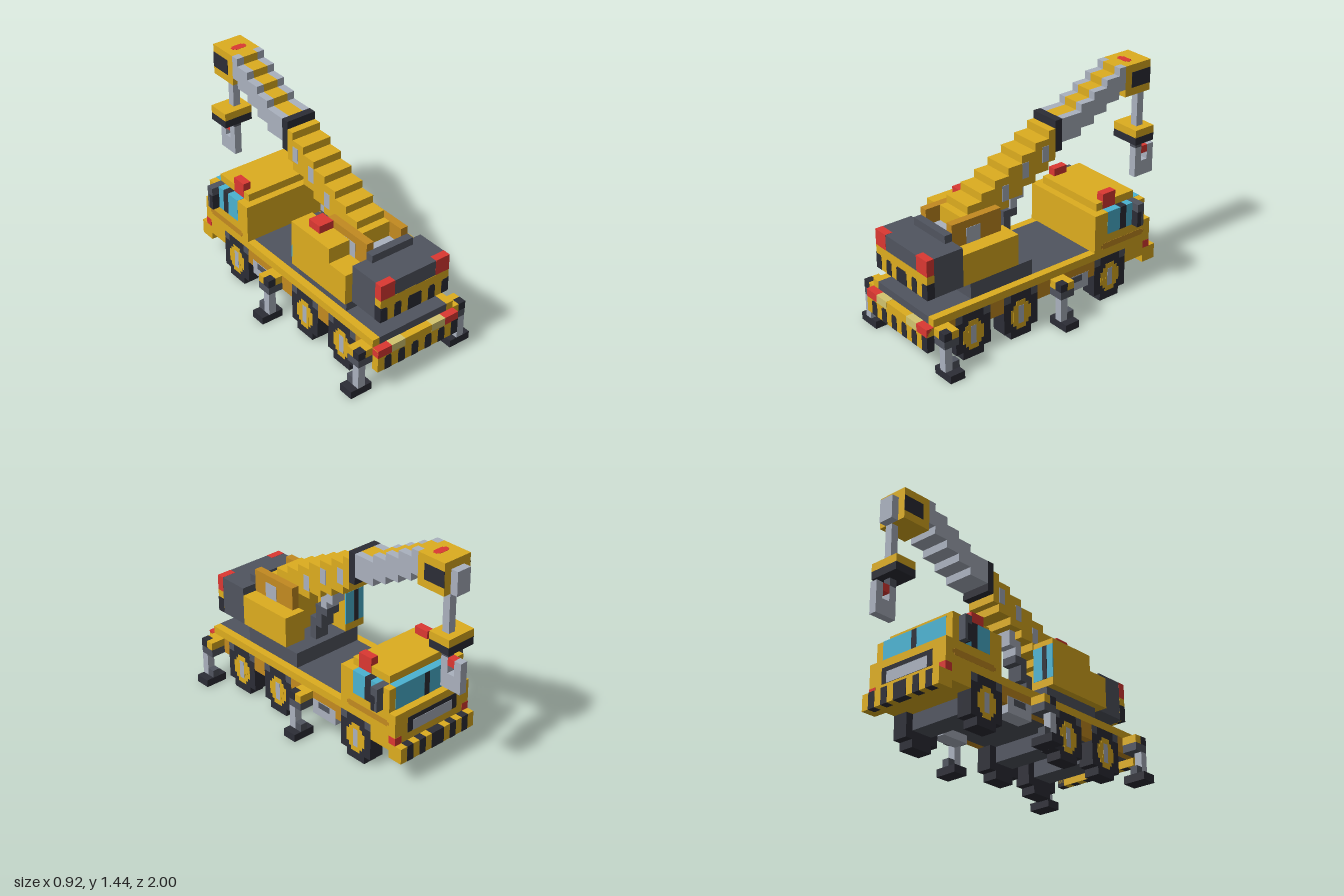
import * as THREE from 'three';

const V = 2 / 39; // one block
const mat = (name, color) => { const m = new THREE.MeshStandardMaterial({ color }); m.name = name; return m; };

export function createModel() {
  const model = new THREE.Group();
  model.name = 'craneTruck';
  const yellow = mat('yellow', 0xddad1f), orange = mat('orange', 0xc38a20), dark = mat('darkGrey', 0x50545f),
    light = mat('lightGrey', 0xaab1be), black = mat('black', 0x2c2d36), red = mat('red', 0xdc3832),
    blue = mat('glassBlue', 0x4bb3d2), cream = mat('cream', 0xd3c46e);

  // Box in block units; k counts from the +z end (0) to the -z end (39)
  const box = (name, m, x0, x1, y0, y1, k0, k1) => {
    const mesh = new THREE.Mesh(new THREE.BoxGeometry((x1 - x0) * V, (y1 - y0) * V, (k1 - k0) * V), m);
    mesh.position.set((x0 + x1) / 2 * V, (y0 + y1) / 2 * V, 1 - (k0 + k1) / 2 * V);
    mesh.name = name;
    model.add(mesh);
  };
  const pair = (name, m, x0, x1, ...r) => { box(name, m, x0, x1, ...r); box(name, m, -x1, -x0, ...r); };
  // Upright warning stripe with a narrowed top
  const stripe = (name, x0, x1, y0, y1, k0, k1) => {
    box(name, black, x0, x1, y0, y1 - 0.3, k0, k1);
    box(name, black, x0 + 0.15, x1 - 0.15, y1 - 0.3, y1 - 0.1, k0, k1);
  };

  // Chassis and deck
  box('chassisCore', dark, -5, 5, 4, 7, 1, 25);
  pair('deckRim', yellow, 5, 6, 6, 7, 1, 25);
  pair('sideSkirt', orange, 5, 6, 4, 6, 1, 25);
  pair('fuelTank', light, 4, 6.02, 3, 5, 20, 24);
  pair('tankBand', dark, 6.02, 6.05, 4.1, 4.9, 21, 23);

  // Rear bumper with lamps and stripes
  box('rearBumper', yellow, -6, 6, 3, 6, 0.03, 1);
  pair('rearLamp', red, 4, 6, 5, 6.02, 0, 1);
  pair('rearReflector', cream, 2, 4, 5, 6.02, 0, 1);
  for (let x = -5; x < 5; x += 2) stripe('rearStripe', x, x + 1, 2.99, 5, 0, 0.95);
  box('rearStripeEnd', black, 5, 6.02, 3, 5, 0, 1);

  // Wheels, arches and axles
  for (const k of [4, 11, 25]) {
    box('axle', dark, -4, 4, 2, 4, k + 1, k + 4);
    pair('wheelArch', dark, 4, 6.01, 5, 6, k, k + 5);
    pair('tyre', black, 4, 6.02, 1, 5, k, k + 5);
    pair('tyreTread', black, 4, 6.02, 0, 6, k + 1, k + 4);
    pair('hubWide', yellow, 6, 6.04, 2.1, 3.9, k + 1, k + 4);
    pair('hubTall', yellow, 6, 6.06, 1.1, 4.9, k + 1.8, k + 3.2);
    pair('hubMiddle', yellow, 6, 6.05, 1.6, 4.4, k + 1.4, k + 3.6);
    pair('hubCap', light, 6, 6.08, 1.8, 4.2, k + 2.1, k + 2.9);
  }

  // Outriggers
  for (const k of [1, 18]) {
    pair('outriggerArm', yellow, 6, 8, 5, 6, k, k + 2);
    pair('outriggerCap', black, 7, 8.02, 5, 6.02, k - 0.02, k + 1);
    pair('outriggerSleeve', dark, 6, 8, 4, 5, k, k + 2);
    pair('outriggerLeg', light, 7, 8, 1, 4, k, k + 1);
    pair('outriggerCollar', dark, 7, 8, 1, 2, k + 1, k + 2);
    pair('outriggerFoot', black, 6, 9, 0, 1, k, k + 2);
  }

  // Driving cab
  box('cabLower', yellow, -6, 6, 4, 9, 25, 34);
  box('cabUpper', yellow, -6, 6, 9, 12, 25, 33);
  box('cabRoof', yellow, -5, 5, 12, 13, 26, 32);
  box('windscreen', blue, -5, 5, 9, 12.02, 32, 33.03);
  box('windscreenPost', black, -0.4, 0.4, 9, 12, 32.5, 33.06);
  pair('rearSideWindow', blue, 5, 6.02, 9, 12.02, 27, 29);
  pair('windowPost', black, 5, 6.02, 9, 12.02, 29, 30);
  pair('frontSideWindow', blue, 5, 6.02, 9, 12.02, 30, 31);
  pair('mirror', dark, 5, 7, 9, 12.03, 31, 32);
  pair('mirrorFace', black, 6, 7.01, 9, 11, 30.97, 31.6);
  pair('cabBeacon', red, 4, 5.03, 12, 14, 27, 29);
  pair('cabSideStripe', orange, 6, 6.03, 7.1, 7.9, 26.3, 32.7);
  pair('cabSideStripeCore', orange, 6, 6.03, 7.3, 7.7, 26, 33);
  box('grilleFrame', black, -4, 4, 6, 8, 33.9, 34.04);
  box('grille', light, -3.2, 3.2, 6, 7.4, 33.9, 34.08);
  pair('cabLamp', red, 5, 6.02, 5, 6, 33, 34.02);
  box('cabBumper', yellow, -6, 6, 3, 5, 33, 35);
  for (const [a, b] of [[-5, -4], [-3, -2], [-1, 1], [2, 3], [4, 5]]) {
    box('cabBumperStripe', black, a, b, 2.98, 5.02, 34, 35.03);
    stripe('counterweightStripe', a, b, 9, 11, 0.97, 1.5);
  }

  // Turret and counterweight
  box('turretBase', dark, -5, 5, 7, 9, 7, 16);
  box('counterweight', dark, -5, 5, 9, 14, 1.02, 6);
  box('counterweightBand', yellow, -5.01, 5.01, 9, 12, 1, 2);
  pair('counterweightEnd', black, 4.9, 5.03, 9, 11, 0.97, 2);
  pair('counterweightLamp', red, 3, 5.02, 12, 14.02, 1, 2);
  box('counterweightRidge', dark, -3, 3, 14, 15, 5, 6);
  box('engineHousing', yellow, 2, 5, 9, 13, 6, 14);
  box('housingSide', yellow, -6, -2, 9, 13, 6, 9);

  // Operator cabin
  box('operatorCabin', yellow, -6, -3, 9, 15, 9, 16);
  box('operatorWindow', blue, -6, -3, 10, 14.3, 15.9, 16.03);
  box('operatorWindowPost', black, -5.1, -4.4, 10, 14.3, 15.9, 16.06);
  box('operatorBeacon', red, -5, -3, 15, 16, 12, 14);

  // Boom bracket and stepped lift cylinder
  pair('boomBracket', orange, 2, 3, 13, 16, 6, 13);
  pair('bracketPlate', light, 3, 3.04, 13, 15, 8, 10);
  box('boomPivot', light, -2, 2, 9, 14, 6, 8);
  box('boomFoot', yellow, -2, 2, 9, 15, 8, 12);
  [[14, 9, 12, dark], [15, 11, 14, dark], [16, 13, 14, dark], [16, 14, 16, light], [17, 15, 18, light]].forEach(
    ([k, y0, y1, m]) => box('liftCylinder', m, -1, 1, y0, y1, k, k + 1));

  // Lower boom: rising steps
  for (let i = 0; i < 8; i++) {
    const k = 7 + i * 2;
    box('lowerBoom', yellow, -2, 2, 12 + i, 16 + i, Math.max(k, 8), Math.min(k + 2, 22));
  }
  [[14, 16], [17, 18], [20, 19.2]].forEach(([k, y]) => pair('boomPanel', light, 2, 2.04, y, y + 2, k, k + 1));
  box('boomCollar', black, -2.02, 2.02, 20, 24.02, 22, 23);

  // Upper boom with a central yellow strip
  [[23, 26], [26, 28], [28, 30], [30, 32], [32, 33]].forEach(([a, b], i) => {
    box('upperBoom', light, -2, 2, 21 + i, 23 + i, a, b);
    pair('upperBoomEdge', light, 1, 2, 23 + i, 24 + i, a, b);
    box('upperBoomStrip', yellow, -1, 1, 23 + i, 24 + i, a, b);
  });

  // Boom head
  box('boomHead', yellow, -2, 2, 24, 28, 33, 37);
  pair('headPanel', black, 2, 2.04, 25, 27, 34, 37);
  box('headMark', red, -0.7, 0.7, 28, 28.03, 34, 35);
  box('headMarkEnds', red, -1, 1, 28, 28.03, 34.2, 34.8);
  box('headPulley', light, -1, 1, 24, 27, 37, 38);

  // Cable, hook block and hook
  box('cable', light, 0, 1, 19, 24, 36, 37);
  box('hookBlock', yellow, -2, 2, 18, 19, 35, 38);
  box('hookBlockBase', black, -2, 2, 17, 18, 35, 38);
  box('hookLink', dark, 0, 1, 16, 17, 36, 37);
  box('hookShank', light, 0, 1, 14, 16, 36, 37);
  box('hookBase', light, 0, 1, 12, 14, 36, 39);
  box('hookTip', light, 0, 1, 14, 16, 38, 39);
  box('hookLatch', red, 0, 1, 15, 16, 37, 38);
  return model;
}
